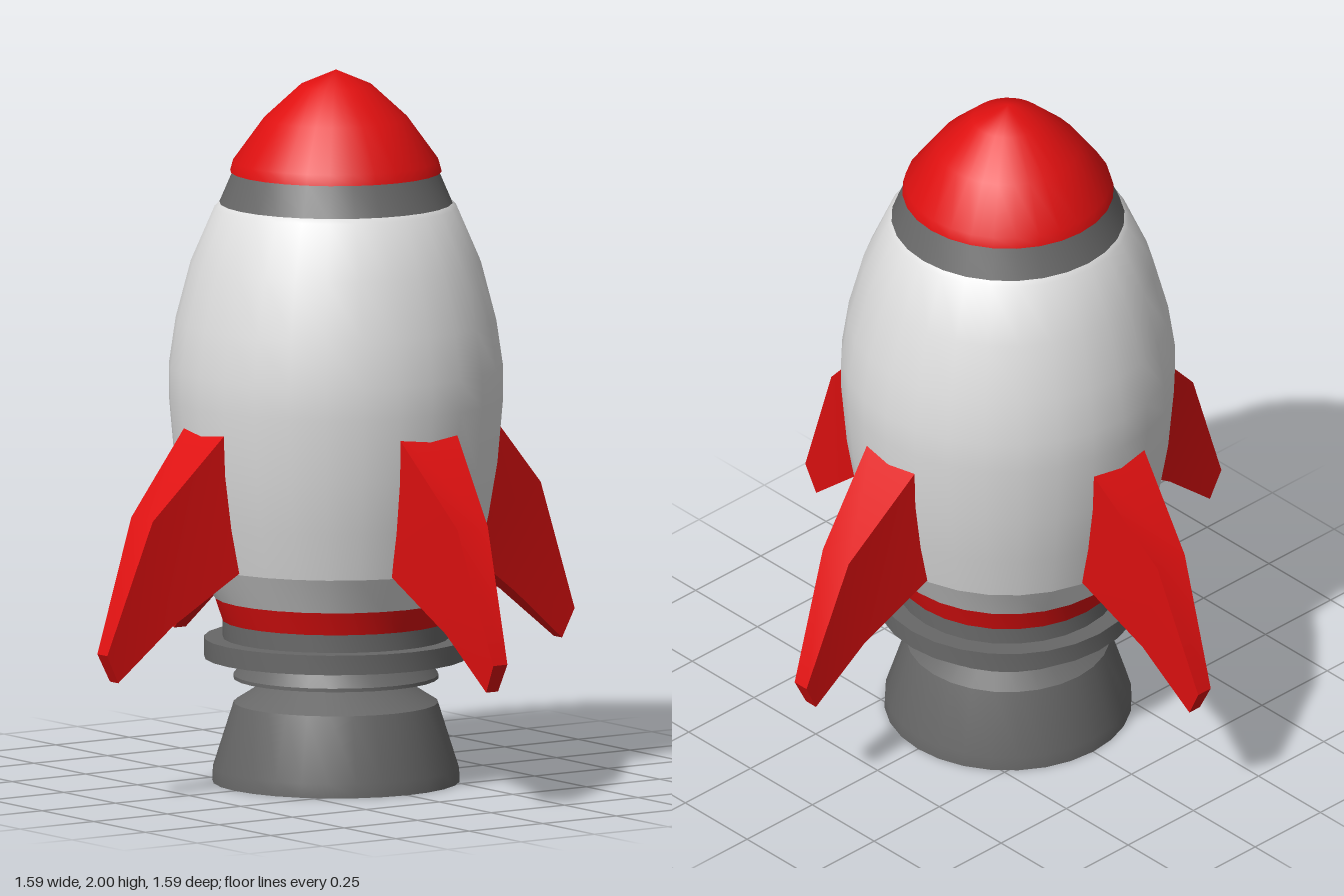
import * as THREE from 'three';
import { toCreasedNormals } from 'three/addons/utils/BufferGeometryUtils.js';

const SIDES = 28;

function paint(name, hex) {
  const m = new THREE.MeshStandardMaterial({ color: hex });
  m.name = name;
  return m;
}

// Turned part from [radius, height] points, listed upwards along the outside.
function turned(name, points, material, crease = 0.5) {
  const lathe = new THREE.LatheGeometry(points.map(([r, y]) => new THREE.Vector2(r, y)), SIDES);
  const mesh = new THREE.Mesh(toCreasedNormals(lathe, crease), material);
  mesh.name = name;
  return mesh;
}

// Fin lofted along +x through three tapering four-cornered sections.
function finGeometry() {
  // [upper radius, upper y, upper half width, lower radius, lower y, lower half width]
  const sections = [
    [0.41, 1.06, 0.105, 0.35, 0.65, 0.09],
    [0.66, 0.79, 0.052, 0.585, 0.485, 0.038],
    [0.795, 0.42, 0.024, 0.755, 0.34, 0.02],
  ];
  const positions = [];
  for (const [ur, uy, uw, lr, ly, lw] of sections) {
    positions.push(ur, uy, uw, ur, uy, -uw, lr, ly, -lw, lr, ly, lw);
  }
  const index = [];
  for (let i = 0; i < sections.length - 1; i++) {
    for (let k = 0; k < 4; k++) {
      const a = i * 4 + k, b = i * 4 + ((k + 1) % 4);
      index.push(a, a + 4, b + 4, a, b + 4, b);
    }
  }
  const tip = (sections.length - 1) * 4;
  index.push(tip, tip + 3, tip + 2, tip, tip + 2, tip + 1);
  const g = new THREE.BufferGeometry();
  g.setAttribute('position', new THREE.Float32BufferAttribute(positions, 3));
  g.setIndex(index);
  return toCreasedNormals(g, 0.75);
}

export function createModel() {
  const red = paint('red', 0xe01010);
  const white = paint('white', 0xdedede);
  const grey = paint('grey', 0x686868);
  const black = paint('black', 0x141414);

  const rocket = new THREE.Group();
  rocket.name = 'rocket';

  // Nose cone and the collar beneath it
  rocket.add(turned('noseCone', [
    [0, 1.715], [0.295, 1.715], [0.287, 1.745], [0.2, 1.865], [0.1, 1.957], [0, 2],
  ], red, 0.9));
  rocket.add(turned('noseCollar', [[0.328, 1.62], [0.285, 1.72]], grey));

  // Hull
  rocket.add(turned('hull', [
    [0.395, 0.62], [0.425, 0.75], [0.45, 0.9], [0.466, 1.08], [0.466, 1.17],
    [0.447, 1.3], [0.405, 1.46], [0.338, 1.615], [0.325, 1.627], [0.3, 1.627],
  ], white));
  rocket.add(turned('hullBase', [[0.34, 0.52], [0.395, 0.62]], white));
  rocket.add(turned('hullBand', [[0.3, 0.455], [0.318, 0.455], [0.34, 0.52]], red));

  // Engine: neck, flange, lower ring and nozzle bell
  rocket.add(turned('engineNeck', [[0.316, 0.4], [0.316, 0.458]], grey));
  rocket.add(turned('engineFlange', [
    [0.2, 0.35], [0.368, 0.35], [0.368, 0.405], [0.28, 0.405],
  ], grey));
  rocket.add(turned('engineRing', [
    [0.18, 0.29], [0.286, 0.29], [0.286, 0.3], [0.245, 0.355],
  ], grey));
  rocket.add(turned('nozzle', [
    [0.23, 0.025], [0.3, 0], [0.345, 0], [0.343, 0.04], [0.285, 0.222], [0.185, 0.285], [0.185, 0.3],
  ], grey, 0.6));
  rocket.add(turned('nozzleInside', [
    [0, 0.13], [0.16, 0.13], [0.23, 0.025],
  ], black));

  // Four fins around the hull
  const fin = finGeometry();
  ['leftFin', 'backFin', 'rightFin', 'frontFin'].forEach((name, i) => {
    const mesh = new THREE.Mesh(fin, red);
    mesh.name = name;
    mesh.rotation.y = i * Math.PI / 2;
    rocket.add(mesh);
  });

  return rocket;
}
